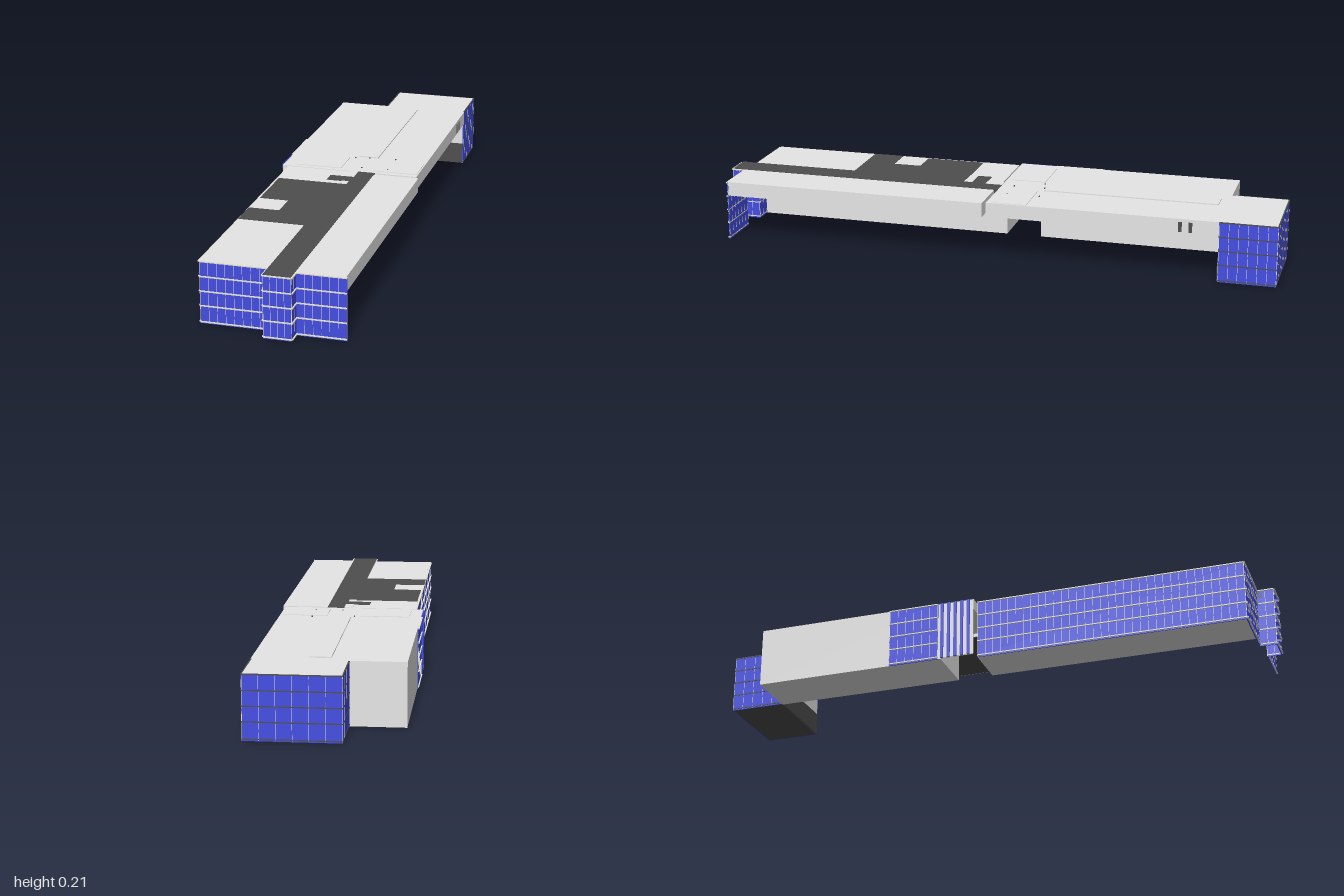
import * as THREE from 'three';

const mat = (name, color) => {
  const m = new THREE.MeshStandardMaterial({ color });
  m.name = name;
  return m;
};

export function createModel() {
  const model = new THREE.Group();
  const wall = mat('light grey wall', 0xe6e6e6);
  const dark = mat('dark grey roofing', 0x4e4e4e);
  const glass = mat('blue glass', 0x434de3);
  const frame = mat('pale frame', 0xe8e6d8);

  // box given by its two extreme corners
  const box = (name, m, x0, x1, y0, y1, z0, z1, parent = model) => {
    const mesh = new THREE.Mesh(new THREE.BoxGeometry(x1 - x0, y1 - y0, z1 - z0), m);
    mesh.position.set((x0 + x1) / 2, (y0 + y1) / 2, (z0 + z1) / 2);
    mesh.name = name;
    parent.add(mesh);
  };

  const H = 0.21, SOFFIT = 0.16, INNER = -0.062;

  // glass sheet with a grid of bars; axis is the direction it runs along, out the side it faces
  const facade = (name, axis, at, out, a, b, bays, rail = frame, railDepth = 0.007) => {
    const g = new THREE.Group();
    g.name = name;
    const slab = (part, m, s, e, y0, y1, inner, outer) => {
      const p = at + out * inner, q = at + out * outer;
      const lo = Math.min(p, q), hi = Math.max(p, q);
      if (axis === 'x') box(part, m, s, e, y0, y1, lo, hi, g);
      else box(part, m, lo, hi, y0, y1, s, e, g);
    };
    slab('glazing', glass, a, b, 0, H - 0.001, 0, 0.003);
    for (let i = 0; i <= bays; i++) {
      const c = a + 0.001 + ((b - a - 0.002) * i) / bays;
      slab('verticalBar', frame, c - 0.0007, c + 0.0007, 0.002, H - 0.002, -0.0004, 0.0034);
    }
    for (const y of [0.006, 0.06, 0.109, 0.158, 0.208])
      slab('horizontalBar', rail, a, b, y - 0.0018, y + 0.0018, -0.0004, railDepth);
    model.add(g);
  };

  // front wing: full-height hall, raised side roof and long dark spine
  box('frontHall', wall, -0.221, INNER, 0, H, 0.005, 0.935);
  box('frontHallEaves', wall, INNER, 0, SOFFIT + 0.021, H, 0.005, 0.935);
  box('eavesSoffit', dark, INNER, 0, SOFFIT + 0.02, SOFFIT + 0.021, 0.005, 0.935);
  box('frontSideRoof', wall, 0.09, 0.25, SOFFIT, H, 0.012, 0.945);
  box('spineRoof', dark, 0, 0.09, SOFFIT + 0.02, H + 0.001, 0, 0.995);

  // dark roof areas, laid around the pale patches
  const roofing = [
    [-0.22, 0, 0.14, 0.35], [-0.12, 0, 0.35, 0.45],
    [-0.226, 0, 0.45, 0.56], [-0.055, 0, 0.06, 0.11],
  ];
  for (const [x0, x1, z0, z1] of roofing) box('darkRoofing', dark, x0, x1, H, H + 0.001, z0, z1);
  box('paleRoofPatch', wall, 0, 0.025, H, H + 0.002, 0.11, 0.14);
  box('paleRoofPatch', wall, 0, 0.03, H, H + 0.002, 0, 0.06);

  // front wing glazing, with the spine's nose standing forward
  facade('frontGlassRight', 'x', 0.935, 1, -0.224, 0, 8);
  facade('noseGlass', 'x', 0.993, 1, 0, 0.092, 4);
  facade('noseSideGlassRight', 'z', 0.003, -1, 0.935, 0.996, 2);
  facade('noseSideGlassLeft', 'z', 0.089, 1, 0.945, 0.996, 2);
  facade('frontGlassLeft', 'x', 0.945, 1, 0.09, 0.254, 6);
  facade('sideGlassRight', 'z', -0.221, -1, 0.005, 0.938, 34);

  // rear wing: full-height hall, and a canopy that also covers the open bay before it
  box('rearHall', wall, -0.25, INNER, 0, H, -0.8, -0.12);
  box('rearCanopy', wall, INNER, 0.24, SOFFIT, H, -0.8, 0);
  box('bayRoof', wall, -0.25, INNER, SOFFIT + 0.012, H, -0.12, 0);
  box('rearSoffit', dark, INNER, 0.234, SOFFIT - 0.002, SOFFIT, -0.8, -0.004);
  facade('rearSideGlass', 'z', -0.249, -1, -0.31, -0.13, 6);

  // open bay: thin outer screen with upright glass fins
  box('bayScreen', wall, -0.25, -0.246, 0.003, SOFFIT + 0.012, -0.12, -0.002);
  for (let i = 0; i < 5; i++) {
    const z = -0.115 + i * 0.024;
    box('fin', glass, -0.255, -0.25, 0.003, H, z - 0.005, z + 0.005);
  }

  // slots in the canopy edge
  for (const z of [-0.67, -0.705]) box('canopySlot', dark, 0.239, 0.2415, 0.165, 0.2, z - 0.006, z + 0.006);

  // low roof plates and small roof caps
  box('roofPlate', wall, -0.01, 0.06, H, H + 0.004, -0.77, -0.16);
  box('roofPlate', wall, -0.21, -0.04, H, H + 0.002, -0.14, -0.02);
  box('roofPlate', wall, 0.075, 0.235, H, H + 0.002, -0.14, -0.02);
  for (const [x, z] of [[0.03, -0.155], [0.125, -0.16], [-0.02, -0.145], [0.03, -0.045], [0.125, -0.045]])
    box('roofCap', dark, x - 0.002, x + 0.002, H, H + 0.003, z - 0.002, z + 0.002);

  // rear block, glazed on three sides
  box('rearBlock', wall, -0.066, 0.236, 0.004, H, -0.993, -0.8);
  box('rearBlockFloor', dark, -0.066, 0.236, 0, 0.004, -0.993, -0.8);
  box('rearBlockFront', dark, INNER, 0.236, 0.002, 0.08, -0.8, -0.797);
  facade('rearGlass', 'x', -0.993, -1, -0.069, 0.239, 6, dark, 0.0045);
  facade('rearGlassLeft', 'z', 0.236, 1, -0.996, -0.8, 6, dark, 0.0045);
  facade('rearGlassRight', 'z', -0.066, -1, -0.996, -0.801, 5, dark, 0.0045);

  return model;
}
